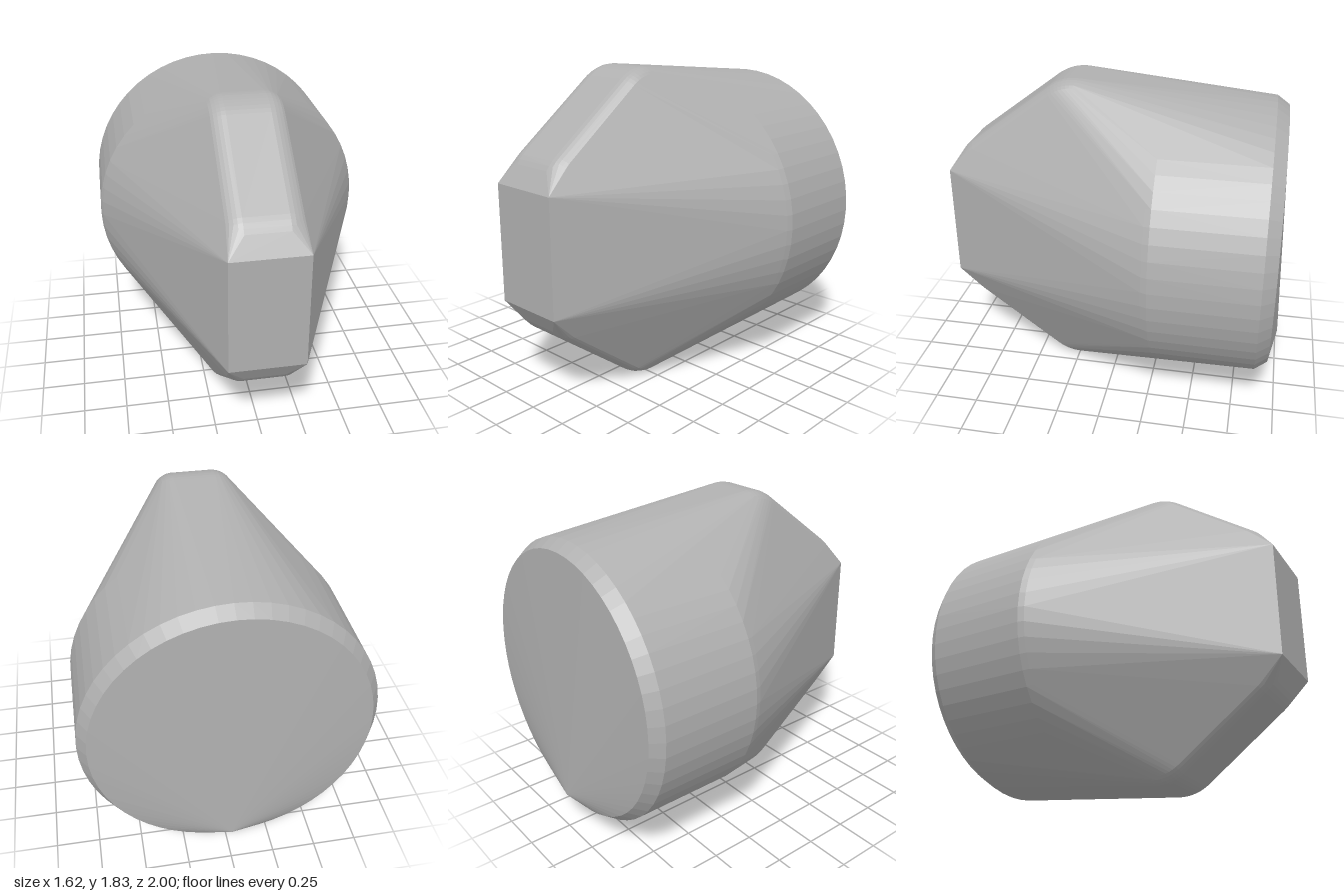
import * as THREE from 'three';
import { ConvexGeometry } from 'three/addons/geometries/ConvexGeometry.js';

const MID = 0.918; // height of the horizontal symmetry plane
const SIDES = 56;

export function createModel() {
  const group = new THREE.Group();
  const grey = new THREE.MeshStandardMaterial({ color: 0xb0b0b0 });
  grey.name = 'grey';

  const points = [];
  const add = (x, y, z) => points.push(new THREE.Vector3(x, y, z));
  // mirrored left/right and above/below the middle plane
  const add4 = (x, h, z) => {
    for (const sx of [1, -1]) for (const sy of [1, -1]) add(sx * x, MID + sy * h, z);
  };
  const ring = (r, z) => {
    for (let i = 0; i < SIDES; i++) {
      const a = (i / SIDES) * Math.PI * 2;
      add(r * Math.sin(a), MID + r * Math.cos(a), z);
    }
  };

  // round rear drum with a chamfered back rim
  ring(0.76, -0.94);
  ring(0.809, -0.87);
  ring(0.809, -0.28);
  ring(0.797, -0.245);

  // flat rectangular nose
  add4(0.212, 0.335, 1);

  // rounded ridges above and below: [half width, radius reduction]
  const section = [[0.12, 0], [0.145, 0.004], [0.165, 0.012], [0.185, 0.023], [0.2, 0.036]];
  const arc = (h, z, r, from, to, steps) => {
    for (const [x, inset] of section) {
      for (let i = 0; i <= steps; i++) {
        const a = THREE.MathUtils.degToRad(from + ((to - from) * i) / steps);
        add4(x, h + (r - inset) * Math.cos(a), z + (r - inset) * Math.sin(a));
      }
    }
  };
  arc(0.652, 0.24, 0.265, -6, 38, 8); // shoulder bend
  arc(0.292, 0.71, 0.27, 37, 75, 6); // bend into the nose

  const body = new THREE.Mesh(new ConvexGeometry(points), grey);
  body.name = 'body';
  group.add(body);

  // shallow back cover, its peak shifted towards the bottom
  const cone = new THREE.ConeGeometry(0.76, 0.06, SIDES, 1, true).rotateX(-Math.PI / 2).toNonIndexed();
  const pos = cone.attributes.position;
  for (let i = 0; i < pos.count; i++) {
    if (pos.getZ(i) < 0) pos.setY(i, -0.698);
  }
  cone.computeVertexNormals();
  const cover = new THREE.Mesh(cone, grey);
  cover.position.set(0, MID, -0.97);
  cover.name = 'backCover';
  group.add(cover);

  return group;
}
